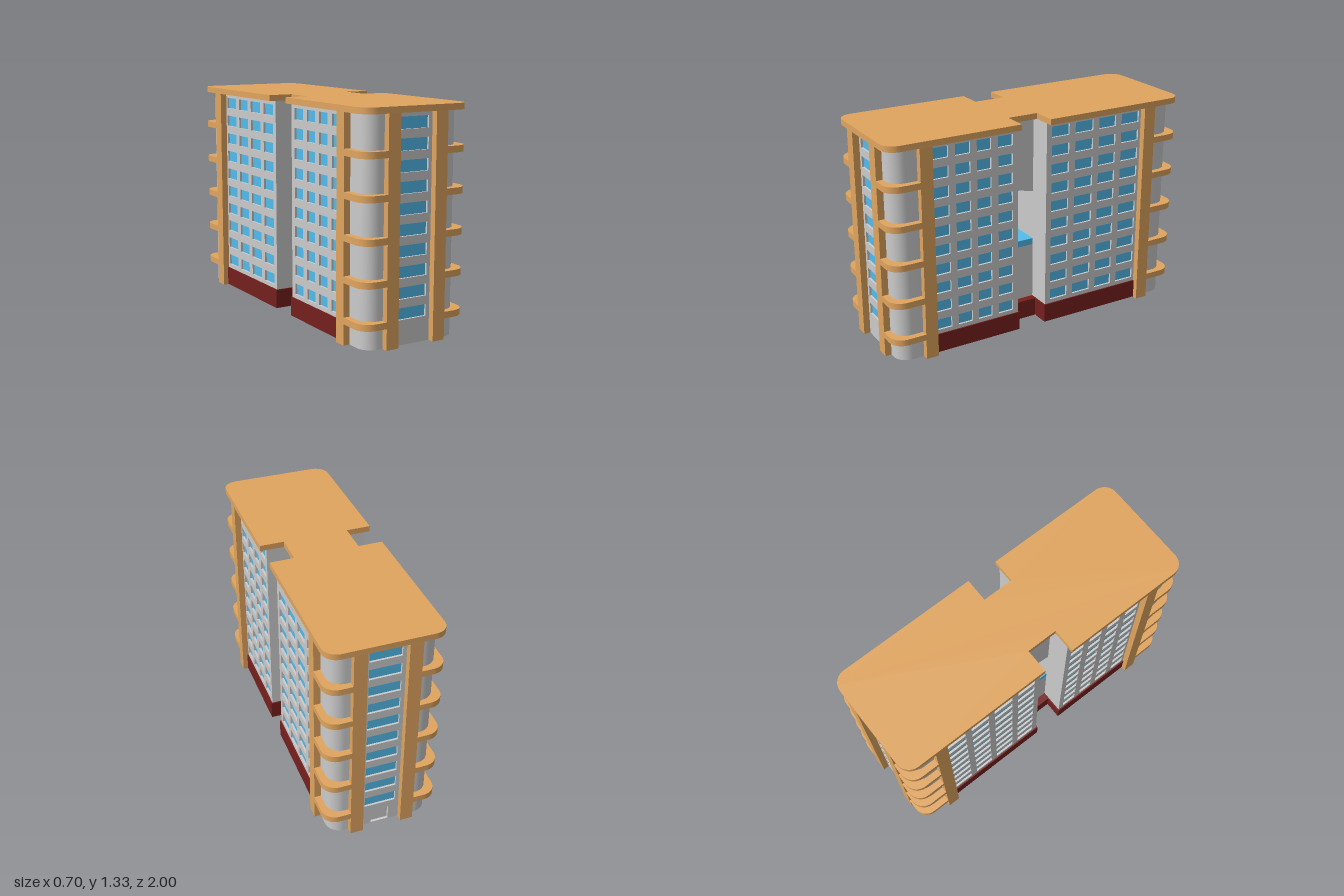
import * as THREE from 'three';
import { toCreasedNormals } from 'three/addons/utils/BufferGeometryUtils.js';

const paint = (color) => new THREE.MeshStandardMaterial({ color });
const GREY = paint(0xcccccc), ORANGE = paint(0xe0a55f), BLUE = paint(0x53bcec), RED = paint(0x75201d);

const TOP = 1.297, ROOF = 1.333;
const ROWS = Array.from({ length: 10 }, (_, i) => 0.145 + i * 0.1177);
const WINDOW_H = 0.068;
const NOTCH = { 1: 0.157, '-1': 0.039 }; // distance of each wing from z = 0
const SIDE_COLUMNS = {
  1: [[0.193, 0.29], [0.336, 0.429], [0.472, 0.567], [0.611, 0.708]],
  '-1': [[0.075, 0.198], [0.241, 0.37], [0.413, 0.536], [0.579, 0.708]],
};

export function createModel() {
  const model = new THREE.Group();

  function add(name, geometry, material) {
    const mesh = new THREE.Mesh(geometry, material);
    mesh.name = name;
    model.add(mesh);
    return mesh;
  }

  // box given by its two extreme corners, in any order
  function box(name, material, [x0, x1], [y0, y1], [z0, z1]) {
    const g = new THREE.BoxGeometry(Math.abs(x1 - x0), Math.abs(y1 - y0), Math.abs(z1 - z0));
    g.translate((x0 + x1) / 2, (y0 + y1) / 2, (z0 + z1) / 2);
    return add(name, g, material);
  }

  // plan outline from [x, z, cornerRadius] points
  function outline(points) {
    const shape = new THREE.Shape();
    const at = (i) => new THREE.Vector2(...points[(i + points.length) % points.length].slice(0, 2));
    points.forEach(([, , r = 0], i) => {
      const p = at(i);
      const toward = (q, d) => p.clone().add(q.sub(p).normalize().multiplyScalar(d));
      const a = toward(at(i - 1), r), b = toward(at(i + 1), r);
      if (i === 0) shape.moveTo(a.x, a.y); else shape.lineTo(a.x, a.y);
      if (r) {
        const c = toward(at(i - 1), r * 0.448), d = toward(at(i + 1), r * 0.448);
        shape.bezierCurveTo(c.x, c.y, d.x, d.y, b.x, b.y);
      }
    });
    return shape;
  }

  // plan outline raised from y0 to y1
  function slab(name, material, points, y0, y1) {
    const g = new THREE.ExtrudeGeometry(outline(points), { depth: y1 - y0, bevelEnabled: false, curveSegments: 10 });
    g.rotateX(Math.PI / 2).translate(0, y1, 0);
    return add(name, toCreasedNormals(g, 0.6), material);
  }

  // wall sheet pierced by a grid of windows, with glass set behind it
  function windowWall(name, [u0, u1], y0, columns, angle, distance, door = 0) {
    const depth = 0.016;
    const s = new THREE.Shape();
    s.moveTo(u0, y0);
    if (door) s.lineTo(-door, y0).lineTo(-door, 0.1).lineTo(door, 0.1).lineTo(door, y0);
    s.lineTo(u1, y0).lineTo(u1, TOP).lineTo(u0, TOP).closePath();
    for (const [a, b] of columns) for (const y of ROWS) {
      const h = new THREE.Path();
      h.moveTo(a, y).lineTo(a, y + WINDOW_H).lineTo(b, y + WINDOW_H).lineTo(b, y).closePath();
      s.holes.push(h);
    }
    const wall = new THREE.ExtrudeGeometry(s, { depth, bevelEnabled: false });
    wall.translate(0, 0, distance - depth).rotateY(angle);
    add(name, wall, GREY);
    const glass = new THREE.PlaneGeometry(u1 - u0 - 0.01, 1.16);
    glass.translate((u0 + u1) / 2, 0.13 + 0.58, distance - depth + 0.003).rotateY(angle);
    add(name + 'Glass', glass, BLUE);
  }

  for (const f of [1, -1]) {
    const n = NOTCH[f];
    const wing = f > 0 ? 'front' : 'back';

    // wing core, stepped in behind the pierced walls, with round outer corners
    const half = [[0.295, n], [0.295, 0.73], [0.31, 0.73], [0.31, 0.96, 0.085], [0.12, 0.96], [0.12, 0.944]];
    const mirrored = half.map(([x, z, r]) => [-x, z, r]).reverse();
    slab(wing + 'WingCore', GREY, [...half, ...mirrored].map(([x, z, r]) => [x, z * f, r]), 0, TOP);

    // end wall with one column of wide windows; the back one has the entrance
    windowWall(wing + 'EndWall', [-0.12, 0.12], 0, [[-0.095, 0.095]], f > 0 ? 0 : Math.PI, 0.96, f > 0 ? 0 : 0.055);

    // red plinth
    box(wing + 'Plinth', RED, [-0.318, 0.318], [0.003, 0.12], [f * (n - 0.007), f * 0.725]);

    for (const s of [1, -1]) {
      // long side wall: u runs along -z on the +x side and along +z on the other
      const k = -s * f;
      const flip = ([a, b]) => (k > 0 ? [a, b] : [-b, -a]);
      windowWall(wing + 'SideWall', flip([n, 0.73]), 0.1, SIDE_COLUMNS[f].map(flip), s * Math.PI / 2, 0.31);

      // pilasters either side of the rounded corner
      box(wing + 'EndPilaster', ORANGE, [s * 0.118, s * 0.196], [0, TOP], [f * 0.93, f]);
      box(wing + 'SidePilaster', ORANGE, [s * 0.29, s * 0.35], [0, TOP], [f * 0.724, f * 0.802]);

      // bands wrapping the corner
      const band = [[0.19, 0.79], [0.35, 0.79], [0.35, 1, 0.085], [0.19, 1]];
      for (let i = 0; i < 5; i++) {
        const y = 0.123 + i * 0.2347;
        slab(wing + 'CornerBand', ORANGE, band.map(([x, z, r]) => [s * x, f * z, r]), y, y + 0.038);
      }
    }
  }

  // link between the wings, open in the middle
  const zf = NOTCH[1], zb = -NOTCH[-1];
  box('linkPlinth', RED, [-0.206, 0.206], [0.003, 0.12], [zb, zf]);
  box('lowerLink', GREY, [-0.16, 0.16], [0.1, 0.475], [zb, zf]);
  box('lowerLinkGlazing', BLUE, [-0.16, 0.16], [0.475, 0.515], [zb, zf]);

  // upper link with a shallow pitched underside
  const arch = new THREE.Shape();
  arch.moveTo(-zf, TOP).lineTo(-zf, 0.828).lineTo(-(zf + zb) / 2, 0.85).lineTo(-zb, 0.828).lineTo(-zb, TOP).closePath();
  const upper = new THREE.ExtrudeGeometry(arch, { depth: 0.32, bevelEnabled: false });
  upper.translate(0, 0, -0.16).rotateY(Math.PI / 2);
  add('upperLink', upper, GREY);

  // plan with a notch on each long side, for the roof and the underside
  const plan = (w, e, notch, r, a, b) => [
    [w, e, r], [w, a], [notch, a], [notch, b], [w, b], [w, -e, r],
    [-w, -e, r], [-w, b], [-notch, b], [-notch, a], [-w, a], [-w, e, r],
  ];
  slab('roof', ORANGE, plan(0.35, 1, 0.2, 0.085, zf, zb), TOP, ROOF);
  slab('underside', GREY, plan(0.31, 0.96, 0.2, 0.085, zf - 0.005, zb + 0.005), 0, 0.004);

  return model;
}
